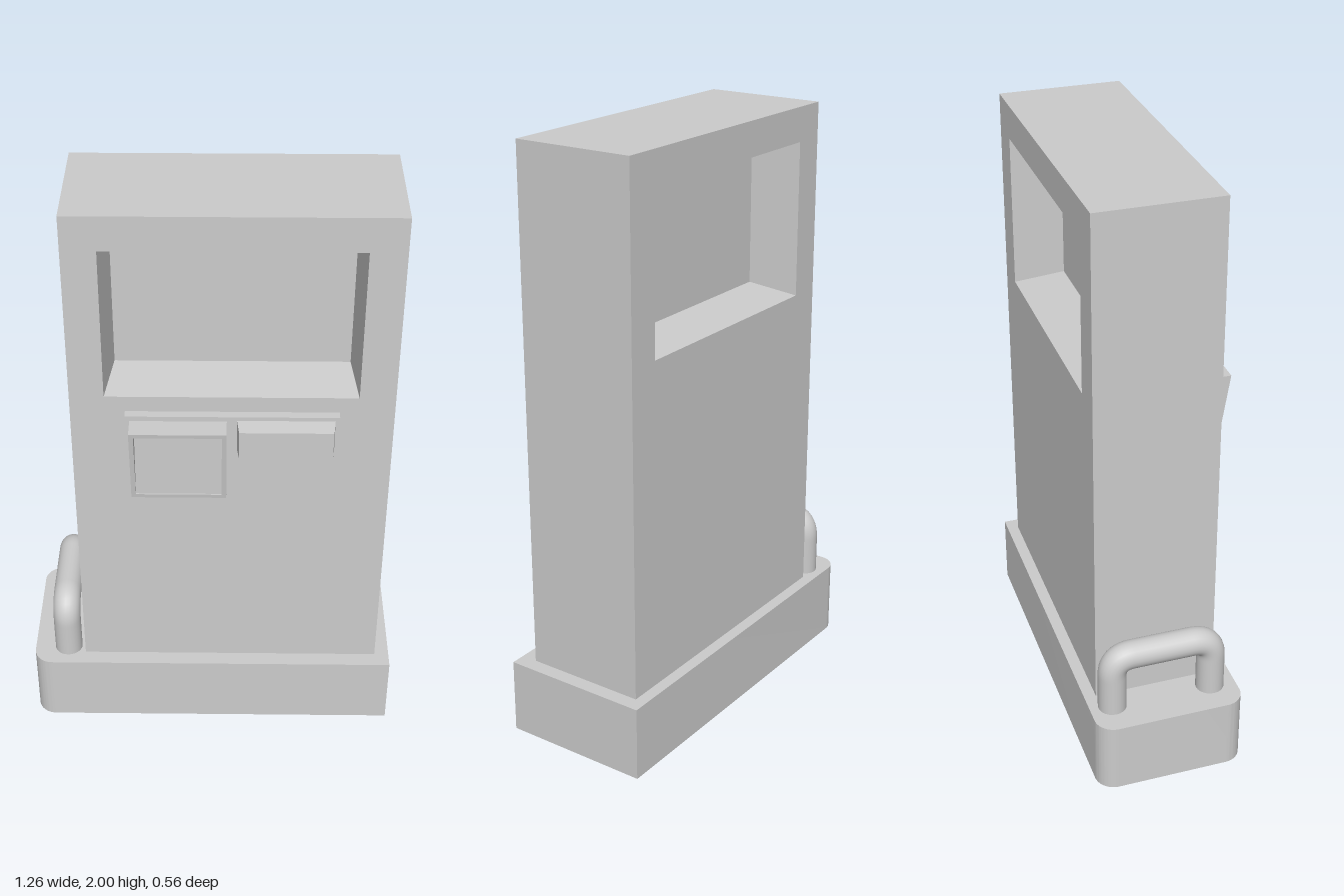
import * as THREE from 'three';
import { toCreasedNormals } from 'three/addons/utils/BufferGeometryUtils.js';

const material = new THREE.MeshStandardMaterial({ color: 0xcccccc });

// Lofts rectangles [x0, x1, y0, y1, zBottom, zTop] from back to front and caps both ends.
function loftRects(rects) {
  const rings = rects.map(([x0, x1, y0, y1, zb, zt = zb]) => [
    [x0, y0, zb], [x1, y0, zb], [x1, y1, zt], [x0, y1, zt],
  ]);
  const pos = [];
  const quad = (a, b, c, d) => pos.push(...a, ...b, ...c, ...a, ...c, ...d);
  for (let r = 0; r < rings.length - 1; r++) {
    for (let i = 0; i < 4; i++) {
      const j = (i + 1) % 4;
      quad(rings[r][i], rings[r][j], rings[r + 1][j], rings[r + 1][i]);
    }
  }
  quad(...[...rings[0]].reverse());
  quad(...rings[rings.length - 1]);
  const geometry = new THREE.BufferGeometry();
  geometry.setAttribute('position', new THREE.Float32BufferAttribute(pos, 3));
  geometry.computeVertexNormals();
  return geometry;
}

export function createModel() {
  const model = new THREE.Group();
  model.name = 'kiosk';
  const add = (name, geometry) => {
    const mesh = new THREE.Mesh(geometry, material);
    mesh.name = name;
    model.add(mesh);
    return mesh;
  };

  // Plinth, rounded at its two right-hand corners
  const r = 0.065;
  const plan = new THREE.Shape();
  plan.moveTo(0.63, -0.23);
  plan.lineTo(0.63, 0.28);
  plan.lineTo(-0.63 + r, 0.28);
  plan.absarc(-0.63 + r, 0.28 - r, r, Math.PI / 2, Math.PI, false);
  plan.lineTo(-0.63, -0.23 + r);
  plan.absarc(-0.63 + r, -0.23 + r, r, Math.PI, Math.PI * 1.5, false);
  plan.closePath();
  const plinth = new THREE.ExtrudeGeometry(plan, { depth: 0.255, bevelEnabled: false, curveSegments: 10 });
  plinth.rotateX(-Math.PI / 2);
  add('plinth', toCreasedNormals(plinth, 0.5));

  // Cabinet with a tapered screen recess on the front and the back
  const back = -0.24, front = 0.175, depth = 0.17;
  const outer = [-0.45, 0.58, 0.255, 2];
  const opening = [-0.34, 0.465, 1.365, 1.885];
  const screen = [-0.315, 0.445, 1.39, 1.862];
  add('cabinet', loftRects([
    [...screen, back + depth],
    [...opening, back],
    [...outer, back],
    [...outer, front],
    [...opening, front],
    [...screen, front - depth],
  ]));

  // Control panel plate
  add('controlPanel', loftRects([
    [-0.275, 0.405, 0.995, 1.31, front],
    [-0.275, 0.405, 0.995, 1.31, 0.205],
  ]));

  // Leaning keypad housing with a sunken upright face
  add('keypadHousing', loftRects([
    [-0.26, 0.048, 1.01, 1.293, 0.2],
    [-0.26, 0.048, 1.01, 1.293, 0.235, 0.28],
    [-0.245, 0.033, 1.024, 1.279, 0.237, 0.278],
    [-0.245, 0.033, 1.024, 1.279, 0.232],
  ]));

  // Slightly tapered card slot
  add('cardSlot', loftRects([
    [0.08, 0.392, 1.187, 1.297, 0.2],
    [0.087, 0.385, 1.193, 1.29, 0.262],
  ]));

  // Guard rail: a bent tube standing on the plinth
  const tube = 0.048, bend = 0.07;
  const zb = -0.25 + tube, zf = 0.19 - tube, top = 0.505 - tube;
  const v = (y, z) => new THREE.Vector3(-0.512, y, z);
  const path = new THREE.CurvePath();
  path.add(new THREE.LineCurve3(v(0.24, zb), v(top - bend, zb)));
  path.add(new THREE.QuadraticBezierCurve3(v(top - bend, zb), v(top, zb), v(top, zb + bend)));
  path.add(new THREE.LineCurve3(v(top, zb + bend), v(top, zf - bend)));
  path.add(new THREE.QuadraticBezierCurve3(v(top, zf - bend), v(top, zf), v(top - bend, zf)));
  path.add(new THREE.LineCurve3(v(top - bend, zf), v(0.24, zf)));
  add('guardRail', new THREE.TubeGeometry(path, 72, tube, 24, false));

  return model;
}
